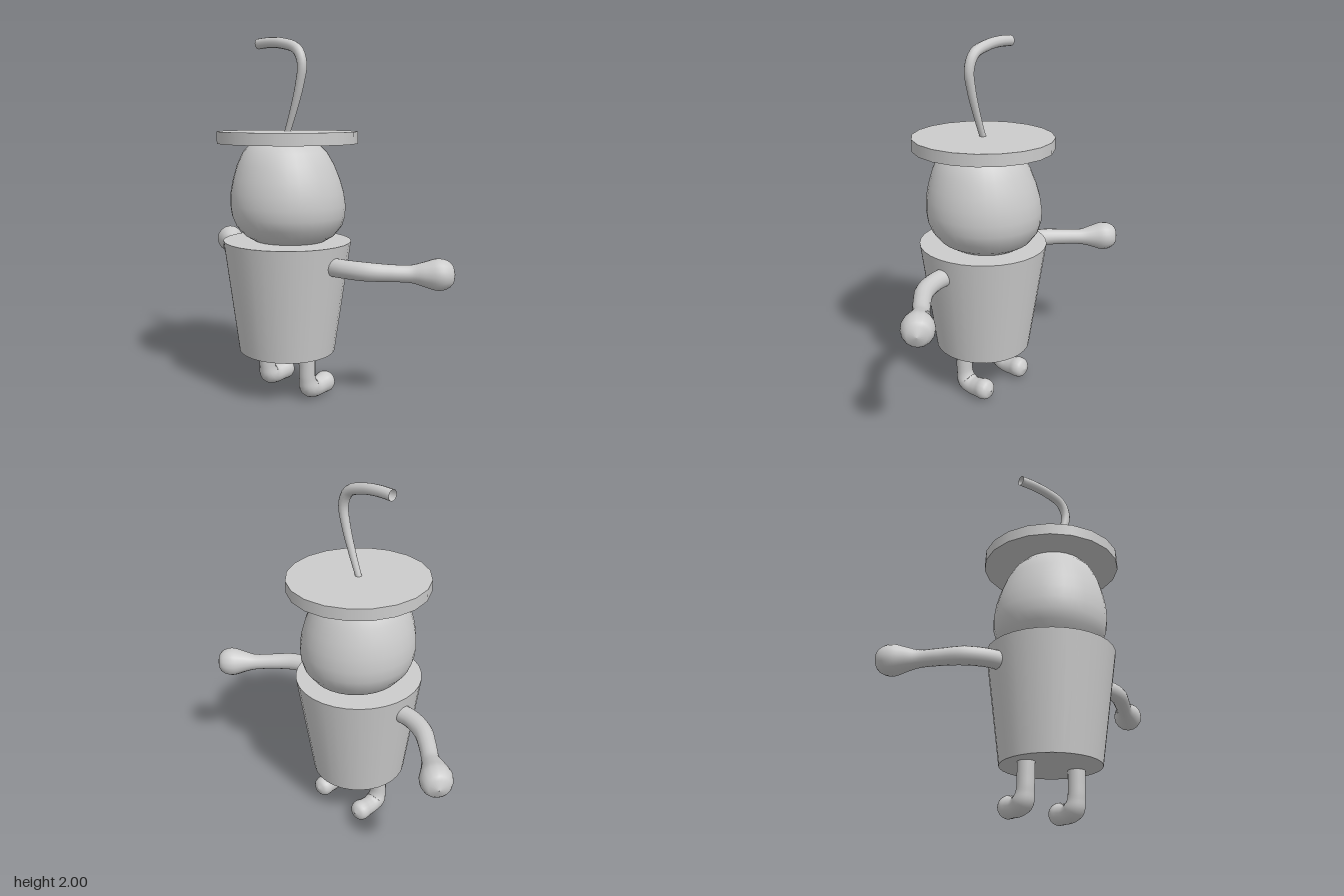
import * as THREE from 'three';
import { mergeVertices } from 'three/addons/utils/BufferGeometryUtils.js';

const grey = new THREE.MeshStandardMaterial({ color: 0xcccccc });
const greyOpen = new THREE.MeshStandardMaterial({ color: 0xcccccc, side: THREE.DoubleSide });

function addMesh(parent, name, geometry, material = grey) {
  const mesh = new THREE.Mesh(geometry, material);
  mesh.name = name;
  parent.add(mesh);
  return mesh;
}

// Tube of varying thickness; stations are [x, y, z, radius]
function taperedTube(stations, segments, sides) {
  const path = new THREE.CatmullRomCurve3(stations.map(([x, y, z]) => new THREE.Vector3(x, y, z)));
  const radii = new THREE.SplineCurve(stations.map((s) => new THREE.Vector2(s[3], 0)));
  const geo = new THREE.TubeGeometry(path, segments, 1, sides, false);
  const pos = geo.attributes.position;
  const v = new THREE.Vector3();
  for (let i = 0; i <= segments; i++) {
    const centre = path.getPointAt(i / segments);
    const r = Math.max(0.001, radii.getPoint(path.getUtoTmapping(i / segments)).x);
    for (let j = 0; j <= sides; j++) {
      const k = i * (sides + 1) + j;
      v.fromBufferAttribute(pos, k).sub(centre).multiplyScalar(r).add(centre);
      pos.setXYZ(k, v.x, v.y, v.z);
    }
  }
  geo.deleteAttribute('uv');
  geo.deleteAttribute('normal');
  const welded = mergeVertices(geo, 1e-5);
  welded.computeVertexNormals();
  return welded;
}

export function createModel() {
  const model = new THREE.Group();
  model.name = 'cupFigure';

  // Tapered cup body
  const cup = addMesh(model, 'cupBody', new THREE.CylinderGeometry(0.355, 0.27, 0.625, 32));
  cup.position.y = 0.578;

  // Rounded head, leaning slightly forward (+x) at the jaw
  const profile = [
    [0.001, 0.87], [0.12, 0.875], [0.2, 0.89], [0.25, 0.92], [0.295, 0.975], [0.314, 1.03], [0.319, 1.09],
    [0.312, 1.16], [0.295, 1.23], [0.267, 1.31], [0.23, 1.38], [0.175, 1.435], [0.09, 1.46], [0.001, 1.465],
  ].map(([r, y]) => new THREE.Vector2(r, y));
  const headGeo = new THREE.LatheGeometry(profile, 32);
  const hp = headGeo.attributes.position;
  for (let i = 0; i < hp.count; i++) {
    hp.setX(i, hp.getX(i) + THREE.MathUtils.mapLinear(hp.getY(i), 0.95, 1.43, 0.018, -0.022));
  }
  addMesh(model, 'head', headGeo);

  // Flat round lid
  const lid = addMesh(model, 'lid', new THREE.CylinderGeometry(0.385, 0.385, 0.065, 20));
  lid.position.y = 1.458;

  // Bent drinking straw with an open end
  addMesh(model, 'straw', taperedTube([
    [0, 1.47, -0.005, 0.017], [0, 1.6, 0.045, 0.02], [0, 1.74, 0.09, 0.024], [0, 1.85, 0.107, 0.027],
    [0, 1.925, 0.07, 0.029], [0, 1.96, -0.03, 0.029], [0, 1.971, -0.13, 0.029], [0, 1.969, -0.22, 0.029],
  ], 32, 12), greyOpen);

  for (const [side, s] of [['left', -1], ['right', 1]]) {
    // Arm bending forward into a rounded fist
    addMesh(model, side + 'Arm', taperedTube([
      [0.005, 0.78, 0.28 * s, 0.05], [0.012, 0.78, 0.4 * s, 0.05], [0.05, 0.777, 0.51 * s, 0.05],
      [0.125, 0.772, 0.605 * s, 0.046], [0.2, 0.768, 0.685 * s, 0.047], [0.245, 0.767, 0.74 * s, 0.066],
      [0.283, 0.766, 0.783 * s, 0.083], [0.312, 0.766, 0.815 * s, 0.08], [0.334, 0.766, 0.84 * s, 0.062],
      [0.346, 0.766, 0.853 * s, 0.035], [0.35, 0.766, 0.858 * s, 0],
    ], 48, 16));

    // Leg curving into a rounded foot
    addMesh(model, side + 'Leg', taperedTube([
      [-0.007, 0.3, 0.157 * s, 0.047], [-0.006, 0.2, 0.157 * s, 0.046], [-0.002, 0.12, 0.157 * s, 0.047],
      [0.015, 0.073, 0.157 * s, 0.056], [0.06, 0.056, 0.157 * s, 0.053], [0.11, 0.06, 0.157 * s, 0.055],
      [0.15, 0.066, 0.157 * s, 0.06], [0.178, 0.069, 0.157 * s, 0.05], [0.193, 0.07, 0.157 * s, 0.03],
      [0.199, 0.071, 0.157 * s, 0],
    ], 40, 16));
  }
  return model;
}
